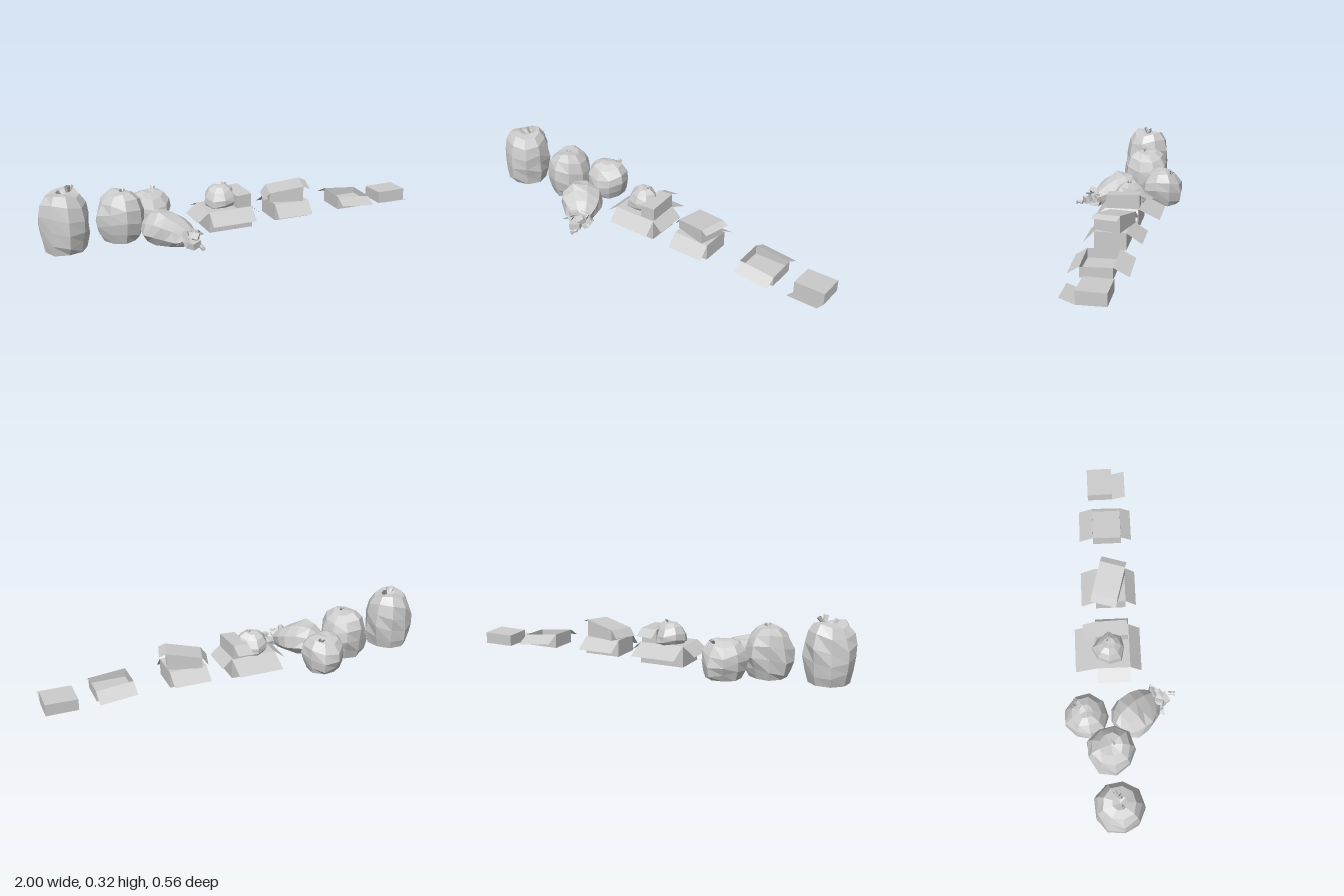
import * as THREE from 'three';

const mat = new THREE.MeshStandardMaterial({ color: 0xcccccc, flatShading: true, side: THREE.DoubleSide });

function mesh(name, geo, parent, pos = [0, 0, 0], rot = [0, 0, 0]) {
  const m = new THREE.Mesh(geo, mat);
  m.name = name;
  m.position.set(...pos);
  m.rotation.set(...rot);
  parent.add(m);
  return m;
}

function quad(a, b, c, d) {
  const g = new THREE.BufferGeometry();
  g.setAttribute('position', new THREE.Float32BufferAttribute([...a, ...b, ...c, ...a, ...c, ...d], 3));
  g.computeVertexNormals();
  return g;
}

// Faceted sack: a lathe whose rings are dented and whose creases run unevenly
function sack(profile, sides, seed, dent) {
  const g = new THREE.LatheGeometry(profile.map(([r, y]) => new THREE.Vector2(r, y)), sides);
  const p = g.attributes.position;
  for (let i = 0; i < p.count; i++) {
    const x = p.getX(i), y = p.getY(i), z = p.getZ(i);
    const a = Math.atan2(z, x), r = Math.hypot(x, z);
    const k = 1 + dent * Math.sin(3 * a + seed + y * 23) + dent * 0.6 * Math.sin(4 * a - seed * 2 + y * 41);
    const dy = y > 0.03 ? r * 0.14 * Math.sin(2 * a + seed * 1.7 + y * 9) : 0;
    p.setXYZ(i, x * k, y + dy, z * k);
  }
  g.computeVertexNormals();
  return g;
}

// Twisted plastic ends at the neck of a sack
function knot(parent, pos, size, tilts) {
  tilts.forEach(([rx, rz]) => {
    const g = new THREE.CylinderGeometry(size * 0.3, size * 0.2, size, 4, 1, true);
    g.translate(0, size * 0.45, 0);
    g.scale(1, 1, 0.6);
    mesh('knotEnd', g, parent, pos, [rx, 0, rz]);
  });
}

// Cardboard box, open underneath. Sides: 0 front, 1 +x, 2 back, 3 -x
function carton(name, parent, { pos, size: [w, d], heights, base = 0.005, lid = true, sheet, flaps = [], turn = 0 }) {
  const g = new THREE.Group();
  g.name = name;
  g.position.set(...pos);
  g.rotation.y = turn;
  parent.add(g);
  const xs = [-w / 2, w / 2, w / 2, -w / 2], zs = [d / 2, d / 2, -d / 2, -d / 2];
  const out = [[0, 1], [1, 0], [0, -1], [-1, 0]];
  const lo = xs.map((x, i) => [x, base, zs[i]]);
  const hi = xs.map((x, i) => [x, heights[i], zs[i]]);
  for (let i = 0; i < 4; i++) {
    const j = (i + 1) % 4;
    mesh('wall', quad(lo[i], lo[j], hi[j], hi[i]), g);
  }
  if (lid) mesh('lid', quad(...hi), g);
  if (sheet !== undefined) mesh('innerSheet', quad(...lo.map(([x, , z]) => [x, sheet, z])), g);
  flaps.forEach(([side, reach, drop, low]) => {
    const ring = low ? lo : hi;
    const a = ring[side], b = ring[(side + 1) % 4], [ox, oz] = out[side];
    const move = (v) => [v[0] + ox * reach, v[1] + drop, v[2] + oz * reach];
    mesh('flap', quad(a, move(a), move(b), b), g);
  });
  return g;
}

export function createModel() {
  const root = new THREE.Group();
  root.name = 'rubbishHeap';
  const group = (name, x, z) => {
    const g = new THREE.Group();
    g.name = name;
    g.position.set(x, 0, z);
    root.add(g);
    return g;
  };

  // Tall sack, open underneath like the other standing sacks
  const tall = group('tallSack', -0.881, -0.026);
  mesh('sackBody', sack([[0.102, 0.006], [0.116, 0.06], [0.122, 0.12], [0.121, 0.18],
    [0.108, 0.24], [0.08, 0.282], [0.035, 0.287], [0, 0.275]], 9, 0.6, 0.04), tall);
  knot(tall, [0.03, 0.278, -0.005], 0.046, [[0.35, 0.1], [-0.5, -0.5]]);
  knot(tall, [-0.01, 0.275, 0.01], 0.034, [[0.3, 0.5]]);

  // Middle sack
  const middle = group('middleSack', -0.596, -0.055);
  mesh('sackBody', sack([[0.09, 0.006], [0.108, 0.045], [0.12, 0.1], [0.116, 0.16],
    [0.096, 0.21], [0.058, 0.242], [0, 0.246]], 9, 2.1, 0.045), middle);
  knot(middle, [0.01, 0.238, 0.01], 0.026, [[0.3, 0.4], [-0.4, -0.5]]);

  // Rear sack
  const rear = group('rearSack', -0.415, -0.17);
  mesh('sackBody', sack([[0.085, 0.006], [0.102, 0.04], [0.112, 0.085], [0.105, 0.13],
    [0.075, 0.172], [0.035, 0.19], [0, 0.19]], 9, 4.0, 0.045), rear);
  knot(rear, [0.035, 0.17, -0.045], 0.03, [[-0.3, -0.5], [-0.8, 0.2]]);

  // Burst sack lying down, mouth towards front
  const burst = group('burstSack', -0.415, 0.06);
  burst.rotation.y = 0.72;
  const body = sack([[0, -0.1], [0.055, -0.095], [0.095, -0.055], [0.112, 0], [0.105, 0.05],
    [0.084, 0.1], [0.058, 0.135], [0.046, 0.15], [0.058, 0.175]], 9, 1.2, 0.06);
  body.rotateX(Math.PI / 2);
  const bp = body.attributes.position;
  for (let i = 0; i < bp.count; i++) {
    const axis = 0.07 - Math.max(0, bp.getZ(i)) * 0.2;
    bp.setY(i, Math.max(0.006, axis + bp.getY(i) * 0.82));
  }
  body.computeVertexNormals();
  mesh('sackBody', body, burst);
  for (let i = 0; i < 5; i++) {
    const a = i * 1.26 + 0.2;
    const rim = (t, r, z) => [Math.cos(t) * r, Math.max(0.008, 0.04 + Math.sin(t) * r * 0.7), z];
    mesh('tornEdge', quad(rim(a - 0.3, 0.05, 0.16), rim(a + 0.3, 0.05, 0.16),
      rim(a + 0.1, 0.062, 0.185), rim(a - 0.1, 0.064, 0.188)), burst);
  }

  // Litter spilling from the mouth
  const litter = group('litter', -0.325, 0.19);
  const can = () => new THREE.CylinderGeometry(0.016, 0.016, 0.046, 6);
  mesh('can', can(), litter, [-0.025, 0.072, 0.005], [1.3, 0.3, 0.4]);
  mesh('can', can(), litter, [0.022, 0.068, -0.02], [0.4, 0, 1.2]);
  mesh('can', can(), litter, [-0.012, 0.03, 0.02], [0.2, 0.5, 1.4]);
  mesh('packet', new THREE.BoxGeometry(0.055, 0.032, 0.05), litter, [0.005, 0.027, 0.03], [0, 0.5, 0.1]);
  mesh('packet', new THREE.BoxGeometry(0.04, 0.03, 0.04), litter, [0.02, 0.05, 0.005], [0.3, 0.9, 0.3]);
  mesh('paperScrap', quad([-0.07, 0.02, 0.0], [-0.04, 0.03, 0.02], [-0.05, 0.05, 0.03], [-0.085, 0.03, 0.035]), litter);
  mesh('paperScrap', quad([0.03, 0.012, -0.02], [0.06, 0.01, -0.005], [0.055, 0.015, 0.02], [0.03, 0.02, 0.01]), litter);
  const bottle = new THREE.LatheGeometry([[0, -0.018], [0.011, -0.018], [0.011, -0.008], [0.008, 0],
    [0.008, 0.01], [0.011, 0.012], [0.011, 0.018], [0, 0.018]].map(([r, y]) => new THREE.Vector2(r, y)), 6);
  mesh('bottleNeck', bottle, litter, [0.033, 0.021, 0.075], [Math.PI / 2, 0, 0.1]);

  // Wide open carton carrying a small sack and a small box
  carton('wideCarton', root, {
    pos: [-0.057, 0, -0.025], size: [0.232, 0.17], heights: [0.112, 0.112, 0.112, 0.112],
    flaps: [[0, 0.058, -0.06], [1, 0.05, -0.045], [2, 0.108, -0.05], [3, 0.062, -0.048]],
  });
  const small = group('smallSack', -0.075, -0.045);
  mesh('sackBody', sack([[0.065, 0.1], [0.083, 0.125], [0.08, 0.155], [0.06, 0.19], [0.032, 0.212], [0, 0.215]],
    8, 3.1, 0.06), small);
  knot(small, [0.02, 0.205, 0], 0.022, [[0.2, -0.4], [-0.5, 0.3]]);
  carton('smallBox', root, {
    pos: [0.015, 0, -0.03], size: [0.08, 0.165], base: 0.112, heights: [0.175, 0.18, 0.185, 0.18], turn: 0.04,
    flaps: [[2, 0.06, -0.03]],
  });

  // Two stacked cartons
  carton('lowerCarton', root, {
    pos: [0.287, 0, -0.025], size: [0.19, 0.155], heights: [0.1, 0.1, 0.1, 0.1], base: 0.015,
    flaps: [[0, 0.055, -0.06], [2, 0.075, -0.05]],
  });
  carton('upperCarton', root, {
    pos: [0.285, 0, -0.032], size: [0.175, 0.135], base: 0.1, heights: [0.148, 0.178, 0.185, 0.155], turn: -0.28,
    flaps: [[1, 0.035, -0.015], [3, 0.03, -0.04]],
  });

  // Shallow open carton
  carton('openCarton', root, {
    pos: [0.658, 0, -0.03], size: [0.185, 0.15], base: 0.02, heights: [0.088, 0.07, 0.074, 0.092], lid: false, sheet: 0.042,
    flaps: [[0, 0.055, -0.035], [2, 0.072, -0.038]],
  });

  // Crushed carton with a flap on the ground
  carton('crushedCarton', root, {
    pos: [0.92, 0, -0.058], size: [0.158, 0.135], heights: [0.066, 0.068, 0.064, 0.062],
    flaps: [[0, 0.07, 0.026, true]],
  });
  return root;
}
